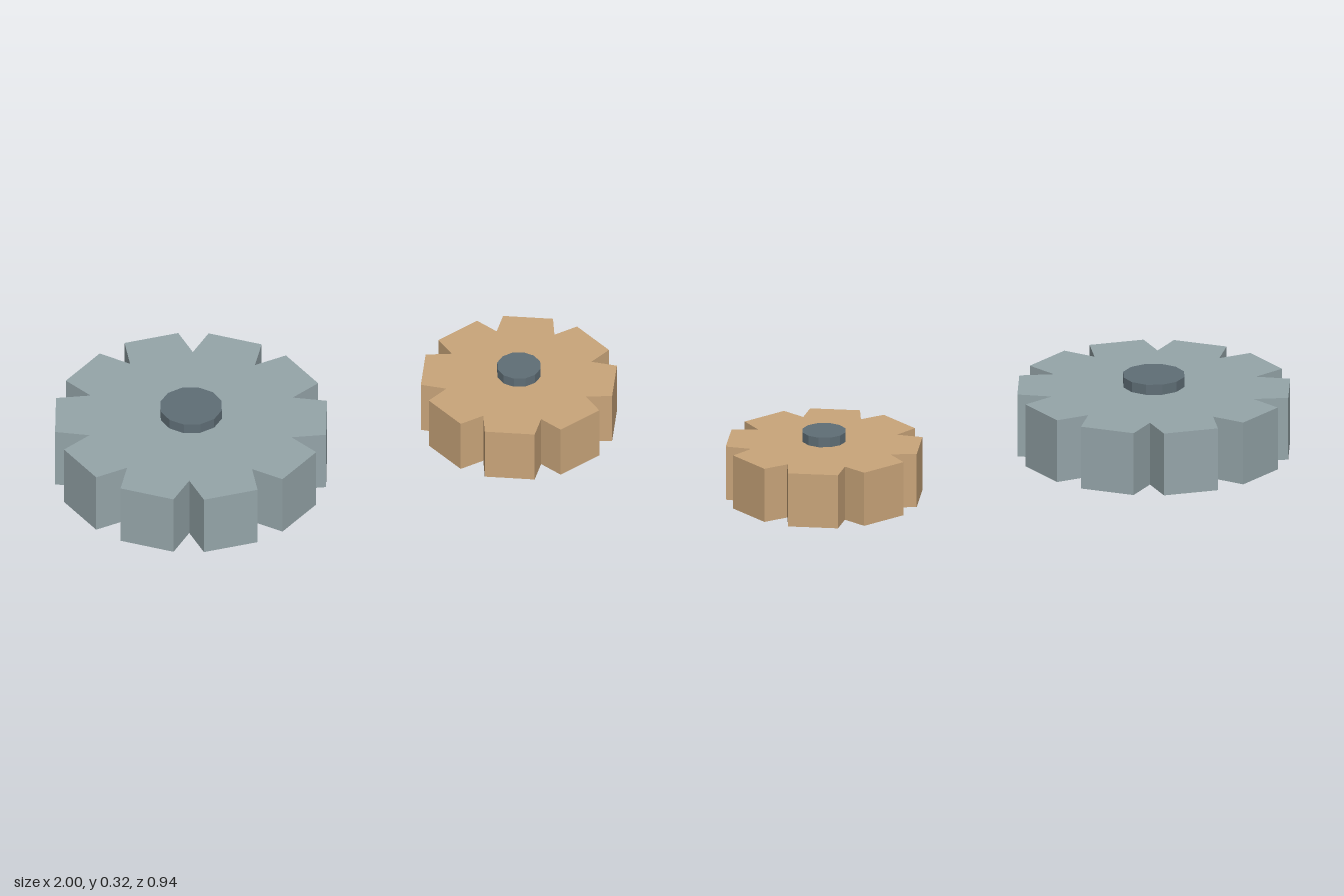
import * as THREE from 'three';

const steel = new THREE.MeshStandardMaterial({ color: 0x95a5a9, flatShading: true });
const brass = new THREE.MeshStandardMaterial({ color: 0xc9a57a, flatShading: true });
const dark = new THREE.MeshStandardMaterial({ color: 0x5f6e76, flatShading: true });

// Toothed wheel: each tooth has two outer corners, with a single notch point between teeth
function gearGeometry(teeth, outer, inner, height, firstTooth) {
  const step = (Math.PI * 2) / teeth;
  const points = [];
  for (let i = 0; i < teeth; i++) {
    const a = firstTooth + i * step;
    for (const [offset, r] of [[-0.325, outer], [0.325, outer], [0.5, inner]]) {
      const t = a + offset * step;
      points.push(new THREE.Vector2(Math.cos(t) * r, Math.sin(t) * r));
    }
  }
  const geometry = new THREE.ExtrudeGeometry(new THREE.Shape(points), { depth: height, bevelEnabled: false });
  return geometry.rotateX(-Math.PI / 2);
}

// A gear with its hub cap hovering just above the top face
function makeGear(name, g) {
  const group = new THREE.Group();
  group.name = name;
  group.position.set(g.x, g.y, 0);

  const wheel = new THREE.Mesh(gearGeometry(g.teeth, g.outer, g.inner, g.height, g.firstTooth), g.material);
  wheel.name = 'toothedWheel';

  const cap = new THREE.Mesh(new THREE.CylinderGeometry(g.capRadius, g.capRadius, g.capHeight, 12), dark);
  cap.name = 'hubCap';
  cap.position.y = g.height + g.gap + g.capHeight / 2;

  group.add(wheel, cap);
  return group;
}

export function createModel() {
  const model = new THREE.Group();
  model.name = 'gearPair';
  model.add(
    makeGear('largeGear', {
      x: -0.525, y: 0.053, teeth: 10, outer: 0.478, inner: 0.367, height: 0.227, firstTooth: Math.PI / 2,
      capRadius: 0.109, capHeight: 0.037, gap: 0.008, material: steel,
    }),
    makeGear('smallGear', {
      x: 0.659, y: 0, teeth: 8, outer: 0.343, inner: 0.262, height: 0.195, firstTooth: Math.PI / 8,
      capRadius: 0.077, capHeight: 0.035, gap: 0.007, material: brass,
    }),
  );
  return model;
}
